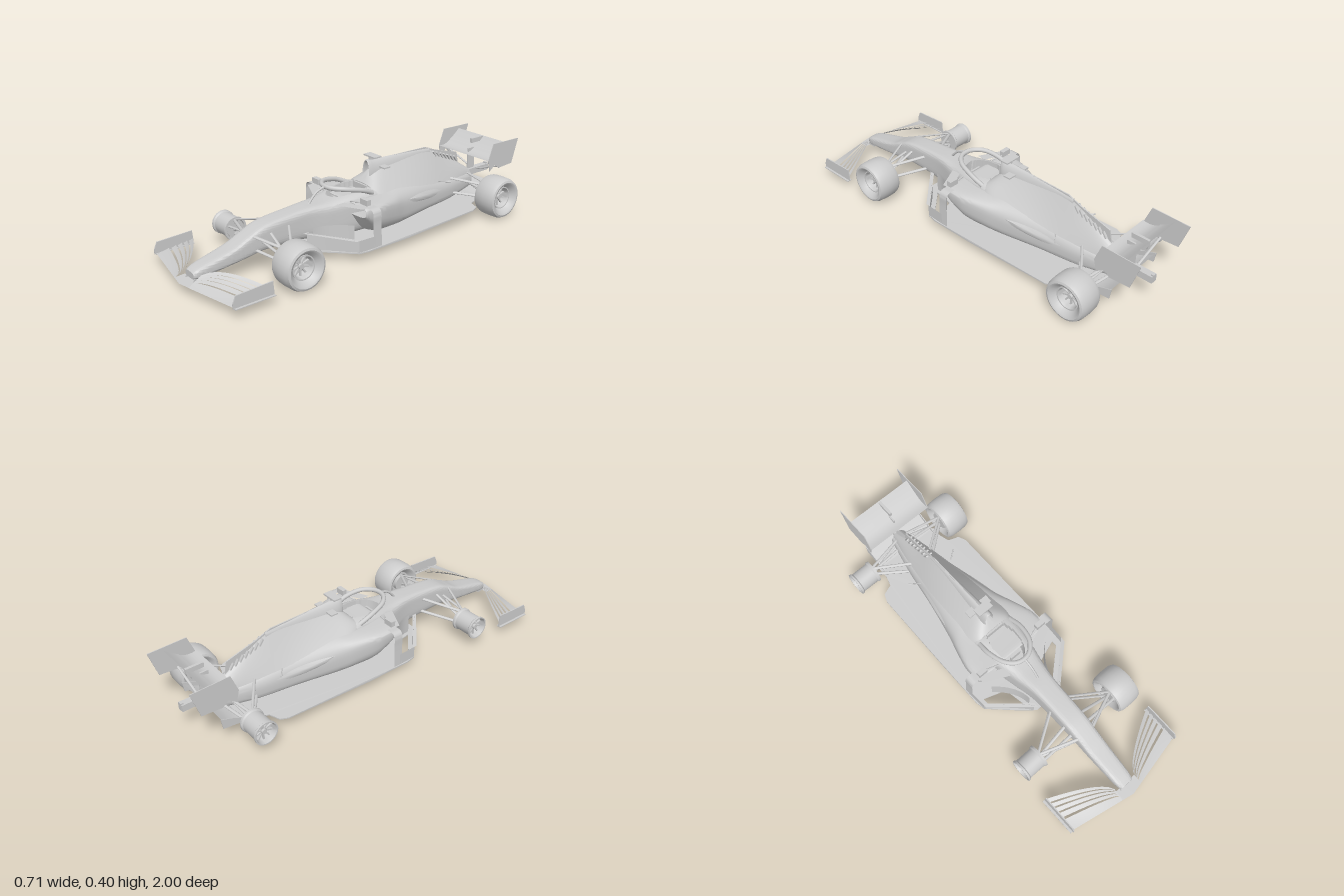
import * as THREE from 'three';
import { toCreasedNormals } from 'three/addons/utils/BufferGeometryUtils.js';

const V = (x, y, z) => new THREE.Vector3(x, y, z);
const lerp = THREE.MathUtils.lerp;

// Grid of points turned into a BufferGeometry; closed joins the last column to the first
function grid(rows, closed) {
  const n = rows[0].length, pos = rows.flat().flatMap(p => [p.x, p.y, p.z]), idx = [];
  for (let i = 0; i < rows.length - 1; i++)
    for (let j = 0; j < (closed ? n : n - 1); j++) {
      const a = i * n + j, b = i * n + (j + 1) % n;
      idx.push(a, a + n, b, b, a + n, b + n);
    }
  if (closed) [0, rows.length - 1].forEach((r, end) => {
    const c = pos.length / 3, mid = V(0, 0, 0);
    rows[r].forEach(p => mid.addScaledVector(p, 1 / n));
    pos.push(mid.x, mid.y, mid.z);
    for (let j = 0; j < n; j++) {
      const a = r * n + j, b = r * n + (j + 1) % n;
      idx.push(...(end ? [c, b, a] : [c, a, b]));
    }
  });
  const g = new THREE.BufferGeometry();
  g.setAttribute('position', new THREE.Float32BufferAttribute(pos, 3));
  g.setIndex(idx);
  return toCreasedNormals(g, 0.75);
}

// Open surface from f(u, v) -> Vector3
function sheet(f, nu = 10, nv = 3) {
  const rows = [];
  for (let i = 0; i <= nu; i++) {
    rows.push([]);
    for (let j = 0; j <= nv; j++) rows[i].push(f(i / nu, j / nv));
  }
  return grid(rows, false);
}

// Smooth hull through stations [z, halfWidth, bottom, widestY, top, topPower, bottomPower]
function hull(stations, rule = p => p, steps = 6, sides = 48) {
  const rows = [], last = stations.length - 1;
  const at = i => stations[Math.min(last, Math.max(0, i))];
  for (let i = 0; i < last; i++)
    for (let k = 0; k < steps + (i === last - 1 ? 1 : 0); k++) {
      const t = k / steps;
      const [z, w, b, m, top, pt, pb] = at(i).map((v1, c) => {
        const v0 = at(i - 1)[c], v2 = at(i + 1)[c], v3 = at(i + 2)[c];
        return v1 + 0.5 * t * (v2 - v0 + t * (2 * v0 - 5 * v1 + 4 * v2 - v3 + t * (3 * (v1 - v2) + v3 - v0)));
      });
      const ring = [];
      for (let j = 0; j < sides; j++) {
        const a = j / sides * Math.PI * 2, c = Math.cos(a), s = Math.sin(a), e = s >= 0 ? pt : pb;
        const h = s >= 0 ? top - m : m - b;
        ring.push(rule(V(Math.sign(c) * w * Math.abs(c) ** e, m + Math.sign(s) * h * Math.abs(s) ** e, z)));
      }
      rows.push(ring);
    }
  return grid(rows, true);
}

export function createModel() {
  const car = new THREE.Group();
  car.name = 'racingCar';
  const grey = new THREE.MeshStandardMaterial({ color: 0xcccccc, side: THREE.DoubleSide });
  grey.name = 'plain grey';

  const add = (name, geo, parent = car) => {
    const m = new THREE.Mesh(geo, grey);
    m.name = name;
    parent.add(m);
    return m;
  };
  const box = (name, w, h, d, x, y, z, parent) => {
    const m = add(name, new THREE.BoxGeometry(w, h, d), parent);
    m.position.set(x, y, z);
    return m;
  };
  const rod = (name, a, b, r = 0.006) => {
    const m = add(name, new THREE.CylinderGeometry(r, r, a.distanceTo(b), 8));
    m.position.copy(a).lerp(b, 0.5);
    m.quaternion.setFromUnitVectors(V(0, 1, 0), b.clone().sub(a).normalize());
    m.scale.x = 0.6;
  };
  const tube = (name, pts, r) =>
    add(name, new THREE.TubeGeometry(new THREE.CatmullRomCurve3(pts), 40, r, 10));
  // Flat plate in the z-y plane at a given x
  const sidePlate = (name, pts, x, t) => {
    const g = new THREE.ExtrudeGeometry(new THREE.Shape(pts.map(p => new THREE.Vector2(-p[0], p[1]))),
      { depth: t, bevelEnabled: false });
    g.translate(0, 0, -t / 2).rotateY(Math.PI / 2);
    add(name, g).position.x = x;
  };

  // Nose and survival cell, sunk inside the cockpit opening
  add('noseAndTub', hull([
    [0.945, 0.035, 0.06, 0.075, 0.092, 0.5, 0.5], [0.9, 0.045, 0.058, 0.08, 0.11, 0.45, 0.5],
    [0.74, 0.052, 0.075, 0.11, 0.15, 0.35, 0.5], [0.66, 0.054, 0.085, 0.13, 0.185, 0.35, 0.5],
    [0.56, 0.057, 0.095, 0.16, 0.221, 0.35, 0.5], [0.35, 0.062, 0.085, 0.17, 0.24, 0.35, 0.5],
    [0.22, 0.085, 0.06, 0.17, 0.245, 0.45, 0.5], [0.1, 0.11, 0.055, 0.18, 0.262, 0.5, 0.5],
    [-0.02, 0.12, 0.055, 0.18, 0.268, 0.5, 0.5], [-0.12, 0.12, 0.06, 0.16, 0.25, 0.5, 0.5],
  ], p => {
    if (p.y > 0.2 && (p.x / 0.068) ** 2 + ((p.z - 0.06) / 0.115) ** 2 < 1) p.y = 0.17;
    return p;
  }, 14, 96));

  // Sidepods, starting inside the hollow inlets
  add('sidepods', hull([
    [0.03, 0.205, 0.175, 0.2, 0.228, 0.35, 0.4], [0.11, 0.21, 0.178, 0.205, 0.231, 0.35, 0.4],
    [0.11, 0.22, 0.165, 0.205, 0.238, 0.35, 0.5], [0.06, 0.222, 0.09, 0.2, 0.238, 0.35, 0.7],
    [0, 0.217, 0.055, 0.19, 0.238, 0.4, 0.7], [-0.1, 0.19, 0.05, 0.17, 0.242, 0.6, 0.6],
    [-0.2, 0.16, 0.05, 0.15, 0.25, 0.8, 0.5], [-0.4, 0.117, 0.055, 0.13, 0.235, 0.9, 0.5],
    [-0.6, 0.085, 0.06, 0.12, 0.2, 0.9, 0.5], [-0.8, 0.042, 0.08, 0.12, 0.165, 0.7, 0.6],
  ]));

  // Engine cover, sweeping up to a narrow ridge, with air intake and thin fin
  add('engineCover', hull([
    [-0.03, 0.115, 0.15, 0.21, 0.275, 0.8, 0.5], [-0.12, 0.155, 0.15, 0.19, 0.355, 1.9, 0.5],
    [-0.25, 0.148, 0.13, 0.175, 0.368, 2.1, 0.5], [-0.47, 0.105, 0.1, 0.15, 0.358, 2, 0.5],
    [-0.62, 0.075, 0.1, 0.14, 0.29, 1.7, 0.5], [-0.8, 0.03, 0.1, 0.14, 0.18, 0.8, 0.5],
  ], undefined, 6, 64));
  add('airIntake', hull([
    [-0.14, 0.02, 0.3, 0.315, 0.36, 1, 0.5], [-0.07, 0.022, 0.29, 0.312, 0.374, 1, 0.5],
    [-0.07, 0.03, 0.26, 0.305, 0.385, 1, 0.6], [-0.12, 0.034, 0.25, 0.3, 0.378, 1.1, 0.6],
    [-0.3, 0.024, 0.25, 0.3, 0.37, 1.2, 0.6], [-0.5, 0.01, 0.25, 0.3, 0.358, 1, 0.6],
  ], undefined, 4, 24));
  sidePlate('engineFin', [[-0.12, 0.374], [-0.47, 0.366], [-0.55, 0.335], [-0.71, 0.29], [-0.73, 0.2], [-0.3, 0.2]], 0, 0.006);
  // Rough cooling louvres beside the fin
  for (const s of [1, -1]) for (let i = 0; i < 7; i++)
    box('coolingLouvre', 0.012, 0.035, 0.008, s * 0.012, 0.32 - i * 0.01, -0.53 - i * 0.027).rotation.x = 0.6;

  // Roof camera and lower camera wing
  box('roofCamera', 0.085, 0.007, 0.045, 0, 0.397, -0.105);
  box('cameraStalk', 0.008, 0.03, 0.035, 0, 0.382, -0.1);
  box('intakeWinglet', 0.135, 0.007, 0.04, 0, 0.341, -0.145);

  // Cockpit halo, seat back and wheel
  tube('haloHoop', [V(-0.1, 0.25, -0.02), V(-0.105, 0.28, 0.05), V(-0.083, 0.3, 0.14), V(-0.04, 0.304, 0.185), V(0, 0.305, 0.195),
    V(0.04, 0.304, 0.185), V(0.083, 0.3, 0.14), V(0.105, 0.28, 0.05), V(0.1, 0.25, -0.02)], 0.012);
  tube('haloPillar', [V(0, 0.305, 0.2), V(0, 0.285, 0.25), V(0, 0.235, 0.3)], 0.006);
  box('headrest', 0.1, 0.08, 0.03, 0, 0.23, -0.035);
  box('steeringWheel', 0.06, 0.035, 0.01, 0, 0.215, 0.13);

  // Floor rising gently to the rear, open between the tub and the front vanes
  const half = [[0.07, 0.38], [0.14, 0.32], [0.265, 0.2], [0.275, 0.15], [0.275, -0.1], [0.272, -0.57],
    [0.255, -0.61], [0.2, -0.63], [0.185, -0.68], [0.185, -0.74]];
  const outline = [...half, ...half.slice().reverse().map(([x, z]) => [-x, z])];
  const floorShape = new THREE.Shape(outline.map(([x, z]) => new THREE.Vector2(x, -z)));
  for (const s of [1, -1])
    floorShape.holes.push(new THREE.Path([[0.1, 0.31], [0.235, 0.19], [0.235, 0.16], [0.12, 0.2]]
      .map(([x, z]) => new THREE.Vector2(s * x, -z))));
  const floor = new THREE.ExtrudeGeometry(floorShape, { depth: 0.006, bevelEnabled: false });
  floor.rotateX(-Math.PI / 2);
  const fp = floor.attributes.position;
  for (let i = 0; i < fp.count; i++) fp.setY(i, fp.getY(i) + 0.043 + 0.04 * Math.max(0, -fp.getZ(i) - 0.1));
  floor.computeVertexNormals();
  add('floor', floor);
  add('diffuser', sheet((u, v) => V(lerp(-0.17, 0.17, u), 0.068 + 0.06 * v * v, lerp(-0.7, -0.85, v)), 4, 5));

  // Tail structure and rear wing
  box('tailStructure', 0.035, 0.035, 0.2, 0, 0.155, -0.86);
  box('tailLight', 0.02, 0.04, 0.015, 0, 0.16, -0.955);
  add('rearWingMain', sheet((u, v) => V(lerp(-0.185, 0.185, u), 0.272 + 0.025 * v * v - 0.008 * Math.sin(v * 3.14), lerp(-0.76, -0.865, v)), 4, 6));
  add('rearWingFlap', sheet((u, v) => V(lerp(-0.185, 0.185, u), 0.292 + 0.05 * v ** 1.2, lerp(-0.85, -0.92, v)), 4, 5));
  box('wingPillar', 0.008, 0.13, 0.05, 0, 0.225, -0.83);
  box('flapActuator', 0.014, 0.025, 0.09, 0, 0.33, -0.87);

  // Front wing centre section
  add('frontWingCentre', sheet((u, v) => {
    const x = lerp(-0.065, 0.065, u);
    return V(x, 0.048 + 0.004 * v, lerp(0.999 - 0.2 * Math.abs(x), 0.935, v));
  }, 8, 2));

  // Tyres have deep sloping sidewalls around the rim
  const tyreProfile = [[0.06, -0.035], [0.08, -0.062], [0.09, -0.066], [0.1, -0.062], [0.107, -0.045], [0.109, 0],
    [0.107, 0.045], [0.1, 0.062], [0.09, 0.066], [0.08, 0.062], [0.06, 0.035], [0.06, -0.035]];
  const rimProfile = [[0.06, -0.06], [0.06, -0.05], [0.054, -0.044], [0.054, 0.044], [0.06, 0.05], [0.06, 0.06],
    [0.054, 0.06], [0.049, 0.04], [0.049, -0.06], [0.06, -0.06]];
  const lathe = p => toCreasedNormals(new THREE.LatheGeometry(p.map(q => new THREE.Vector2(...q)), 32), 0.6);
  // Start and end of each front wing element as fractions of the chord
  const wingElements = [[0, 0.33], [0.4, 0.53], [0.58, 0.69], [0.74, 0.84], [0.89, 1]];

  for (const s of [1, -1]) {
    // Front wing elements with slots between them, mounts and end plates
    for (const [f0, f1] of wingElements)
      add('frontWingElement', sheet((u, v) => {
        const x = 0.062 + 0.281 * u, f = lerp(f0, f1, v);
        const zf = 0.999 - 0.2 * x, zb = 0.925 - 0.187 * u ** 0.7;
        const rise = 0.02 + 0.036 * Math.sin(Math.PI * Math.min(1, 0.15 + 0.85 * u ** 0.7));
        return V(s * x, 0.047 + f * rise + 0.004 * v * v, lerp(zf, zb, f));
      }, 14, 2));
    sidePlate('frontWingEndPlate', [[0.94, 0.046], [0.94, 0.07], [0.925, 0.105], [0.74, 0.112], [0.735, 0.046]], s * 0.343, 0.006);
    box('endPlateFoot', 0.025, 0.004, 0.2, s * 0.345, 0.047, 0.835);
    sidePlate('noseMount', [[0.95, 0.05], [0.93, 0.085], [0.86, 0.085], [0.9, 0.05]], s * 0.034, 0.005);

    // Wheels: wide bare rims on the right, narrower rims inside tyres on the left
    for (const [z, x, y] of [[0.565, 0.287, 0.11], [-0.735, 0.28, 0.109]]) {
      const wheel = new THREE.Group();
      wheel.name = z > 0 ? 'frontWheel' : 'rearWheel';
      wheel.position.set(s * x, y, z);
      wheel.rotation.z = -s * Math.PI / 2;
      car.add(wheel);
      add('rim', lathe(rimProfile.map(([r, w]) => [r, s > 0 ? w * 0.65 : w])), wheel);
      if (s > 0) add('tyre', lathe(tyreProfile), wheel);
      add('brakeDrum', new THREE.CylinderGeometry(0.042, 0.046, 0.05, 24), wheel).position.y = -0.03;
      const face = s > 0 ? 0.008 : 0.03;
      add('hub', new THREE.CylinderGeometry(0.012, 0.016, 0.05, 16), wheel).position.y = face - 0.01;
      for (let k = 0; k < 10; k++) {
        const a = k / 10 * Math.PI * 2;
        box('spoke', 0.042, 0.01, 0.007, Math.cos(a) * 0.031, face, -Math.sin(a) * 0.031, wheel).rotation.y = a;
      }
    }

    // Suspension: [wheel point, body point]
    for (const [a, b] of [
      [[0.24, 0.155, 0.565], [0.05, 0.185, 0.64]], [[0.24, 0.155, 0.565], [0.055, 0.19, 0.45]],
      [[0.24, 0.085, 0.565], [0.05, 0.115, 0.63]], [[0.24, 0.085, 0.565], [0.05, 0.12, 0.44]],
      [[0.24, 0.1, 0.57], [0.05, 0.18, 0.55]], [[0.24, 0.13, 0.6], [0.05, 0.155, 0.6]],
      [[0.23, 0.15, -0.735], [0.05, 0.18, -0.6]], [[0.23, 0.15, -0.735], [0.03, 0.165, -0.77]],
      [[0.23, 0.085, -0.735], [0.06, 0.1, -0.6]], [[0.23, 0.085, -0.735], [0.03, 0.11, -0.78]],
      [[0.23, 0.11, -0.735], [0.03, 0.13, -0.74]],
    ]) rod('suspensionArm', V(s * a[0], a[1], a[2]), V(s * b[0], b[1], b[2]), 0.008);

    // Mirror on its stalk
    box('mirror', 0.05, 0.028, 0.025, s * 0.188, 0.259, 0.1);
    rod('mirrorStalk', V(s * 0.1, 0.24, 0.12), V(s * 0.17, 0.25, 0.1), 0.005);

    // Vanes ahead of the sidepods
    add('sidepodWing', sheet((u, v) => V(s * lerp(0.09, 0.215, u), 0.237, lerp(0.2 - 0.06 * u, 0.15 - 0.06 * u, v)), 3, 1));
    const arch = new THREE.CatmullRomCurve3([V(0.21, 0.24, 0), V(0.25, 0.237, 0), V(0.264, 0.22, 0), V(0.266, 0.165, 0), V(0.27, 0.05, 0)]);
    add('archVane', sheet((u, v) => arch.getPoint(u).multiply(V(s, 1, 1)).add(V(0, 0, lerp(0.115, 0.065, v))), 18, 1));
    add('bargeBoard', sheet((u, v) => V(s * (0.085 + 0.18 * u ** 1.2), 0.05 + v * (0.09 - 0.03 * u), 0.37 - 0.17 * u), 8, 2));
    add('innerVane', sheet((u, v) => V(s * (0.08 + 0.1 * u ** 2), 0.05 + v * 0.1, 0.33 - 0.17 * u), 8, 2));
    add('outerVane', sheet((u, v) => V(s * (0.265 + 0.005 * u), 0.05 + v * 0.06, 0.2 - 0.1 * u), 3, 1));
    add('floorEdgeWing', sheet((u, v) => V(s * (0.075 + 0.19 * u), 0.135 - 0.025 * u, 0.385 - 0.17 * u - 0.025 * v), 6, 1));

    // Rear wing end plates, diffuser fences and cover winglets
    sidePlate('rearWingEndPlate', [[-0.8, 0.36], [-0.998, 0.356], [-0.955, 0.222], [-0.85, 0.215], [-0.82, 0.24], [-0.78, 0.21], [-0.765, 0.27]], s * 0.185, 0.004);
    sidePlate('diffuserFence', [[-0.68, 0.066], [-0.85, 0.085], [-0.86, 0.14], [-0.8, 0.12]], s * 0.17, 0.004);
    rod('endPlateStay', V(s * 0.185, 0.225, -0.86), V(s * 0.02, 0.165, -0.86), 0.007);
    rod('coverWinglet', V(s * 0.1, 0.2, -0.48), V(s * 0.15, 0.2, -0.52), 0.004);
  }
  return car;
}
